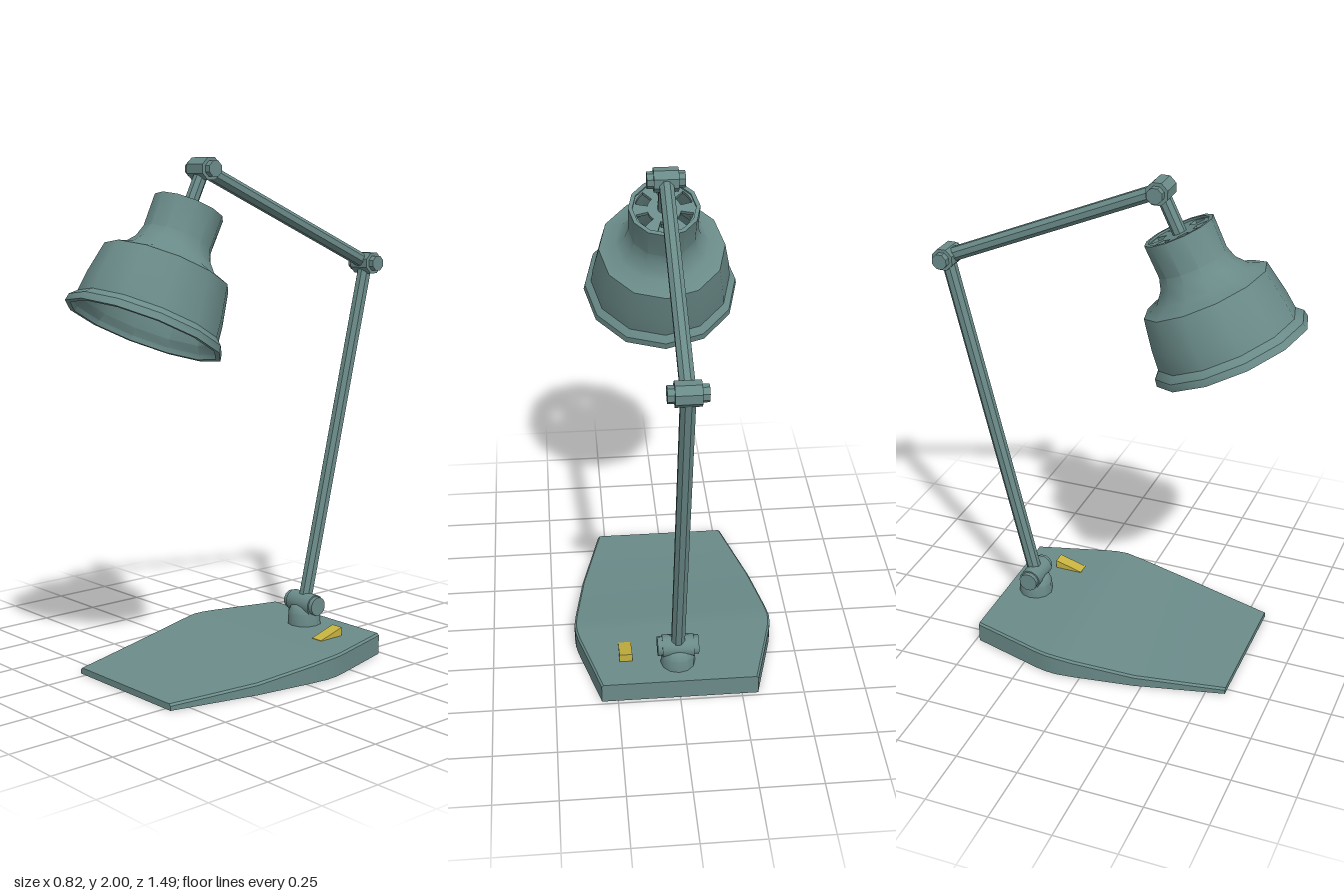
import * as THREE from 'three';
import { toCreasedNormals } from 'three/addons/utils/BufferGeometryUtils.js';

const paint = new THREE.MeshStandardMaterial({ color: 0x6a8b89, side: THREE.DoubleSide });
const yellow = new THREE.MeshStandardMaterial({ color: 0xc8b440 });

function part(name, geometry, material = paint) {
  const mesh = new THREE.Mesh(toCreasedNormals(geometry, 0.6), material);
  mesh.name = name;
  return mesh;
}

const lathe = (points, sides) =>
  new THREE.LatheGeometry(points.map(([r, y]) => new THREE.Vector2(r, y)), sides);

// Eight-sided rod between two points
function rod(name, a, b, radius) {
  const mesh = part(name, new THREE.CylinderGeometry(radius, radius, a.distanceTo(b), 8).rotateY(Math.PI / 8));
  mesh.position.copy(a).lerp(b, 0.5);
  mesh.quaternion.setFromUnitVectors(new THREE.Vector3(0, 1, 0), b.clone().sub(a).normalize());
  return mesh;
}

// Pivot along x: a thick middle with a thinner pin showing at both ends
function joint(name, at, radius, halfBody, pinRadius, halfPin, sides) {
  const g = new THREE.Group();
  g.name = name;
  for (const [n, r, h] of [['jointBody', radius, halfBody], ['jointPin', pinRadius, halfPin]]) {
    g.add(part(n, new THREE.CylinderGeometry(r, r, 2 * h, sides).rotateY(Math.PI / sides).rotateZ(Math.PI / 2)));
  }
  g.position.copy(at);
  return g;
}

// Base slab: bevelled cross-sections [z, half width, height] from back to front
function baseGeometry() {
  const stations = [
    [-0.485, 0.315, 0.085], [-0.19, 0.398, 0.085], [-0.145, 0.407, 0.085], [-0.1, 0.41, 0.084],
    [-0.03, 0.403, 0.075], [0.22, 0.365, 0.046], [0.45, 0.31, 0.032], [0.575, 0.28, 0.025],
  ];
  const bevel = 0.008;
  const rings = stations.map(([z, w, h]) => [
    [-w, 0, z], [w, 0, z], [w, h - bevel, z], [w - bevel, h, z], [bevel - w, h, z], [-w, h - bevel, z],
  ]);
  const pos = [];
  const tri = (...corners) => corners.forEach((p) => pos.push(...p));
  const n = rings[0].length;
  for (let i = 0; i < rings.length - 1; i++) {
    for (let j = 0; j < n; j++) {
      const k = (j + 1) % n;
      tri(rings[i][j], rings[i][k], rings[i + 1][k]);
      tri(rings[i][j], rings[i + 1][k], rings[i + 1][j]);
    }
  }
  const back = rings[0], front = rings[rings.length - 1];
  for (let j = 1; j < n - 1; j++) {
    tri(front[0], front[j], front[j + 1]);
    tri(back[0], back[j + 1], back[j]);
  }
  const g = new THREE.BufferGeometry();
  g.setAttribute('position', new THREE.Float32BufferAttribute(pos, 3));
  g.computeVertexNormals();
  return g;
}

// Wedge-shaped rocker, side profile extruded across x
function switchGeometry() {
  const s = new THREE.Shape();
  s.moveTo(0.35, 0.08);
  s.lineTo(0.35, 0.12);
  s.lineTo(0.27, 0.097);
  s.lineTo(0.235, 0.087);
  s.lineTo(0.235, 0.08);
  return new THREE.ExtrudeGeometry(s, { depth: 0.052, bevelEnabled: false })
    .rotateY(Math.PI / 2).translate(0.183, 0, 0);
}

// Vent disc with six slots around a solid hub
function ventGeometry() {
  const s = new THREE.Shape();
  s.absarc(0, 0, 0.13, 0, Math.PI * 2);
  for (let i = 0; i < 6; i++) {
    const a = -Math.PI / 2 + (i * Math.PI) / 3, d = 0.29;
    const hole = new THREE.Path();
    hole.absarc(0, 0, 0.112, a - d, a + d, false);
    hole.absarc(0, 0, 0.065, a + d, a - d, true);
    s.holes.push(hole);
  }
  return new THREE.ExtrudeGeometry(s, { depth: 0.015, bevelEnabled: false, curveSegments: 6 })
    .rotateX(-Math.PI / 2);
}

// Lamp head, hanging along -y from its pivot
function lampHead() {
  const g = new THREE.Group();
  g.name = 'lampHead';
  const outer = [
    [0.31, -0.66], [0.305, -0.632], [0.28, -0.608], [0.272, -0.53], [0.249, -0.405],
    [0.185, -0.378], [0.15, -0.335], [0.136, -0.29], [0.138, -0.16],
  ];
  const inner = [
    [0.122, -0.16], [0.122, -0.29], [0.137, -0.342], [0.178, -0.392], [0.234, -0.42],
    [0.257, -0.53], [0.266, -0.612], [0.288, -0.64], [0.29, -0.66], [0.31, -0.66],
  ];
  g.add(part('shade', lathe([...outer, ...inner], 12)));
  const vent = part('vent', ventGeometry());
  vent.position.y = -0.183;
  g.add(vent);
  g.add(rod('stem', new THREE.Vector3(0, 0, 0), new THREE.Vector3(0, -0.3, 0), 0.027));
  g.add(part('socket', new THREE.CylinderGeometry(0.05, 0.05, 0.14, 12).translate(0, -0.32, 0)));
  const bulb = part('bulb', new THREE.SphereGeometry(0.115, 14, 10), yellow);
  bulb.position.y = -0.47;
  g.add(bulb);
  return g;
}

export function createModel() {
  const model = new THREE.Group();
  model.name = 'deskLamp';
  const foot = new THREE.Vector3(0, 0.17, -0.365);
  const elbow = new THREE.Vector3(0, 1.57, -0.705);
  const top = new THREE.Vector3(0, 1.955, 0.175);

  model.add(part('base', baseGeometry()));
  model.add(part('switch', switchGeometry(), yellow));

  // Post under the lowest pivot
  const post = part('post', lathe([[0.07, 0.08], [0.068, 0.135], [0.058, 0.158], [0.035, 0.175], [0, 0.178]], 12));
  post.position.z = foot.z;
  model.add(post);

  // Arms and pivots
  model.add(joint('footJoint', foot, 0.045, 0.064, 0.039, 0.083, 12));
  model.add(joint('elbowJoint', elbow, 0.046, 0.047, 0.032, 0.072, 8));
  model.add(joint('topJoint', top, 0.046, 0.047, 0.032, 0.072, 8));
  model.add(rod('lowerArm', foot, elbow, 0.029));
  model.add(rod('upperArm', elbow, top, 0.029));

  const head = lampHead();
  head.position.copy(top);
  head.rotation.x = -0.457;
  model.add(head);
  return model;
}
